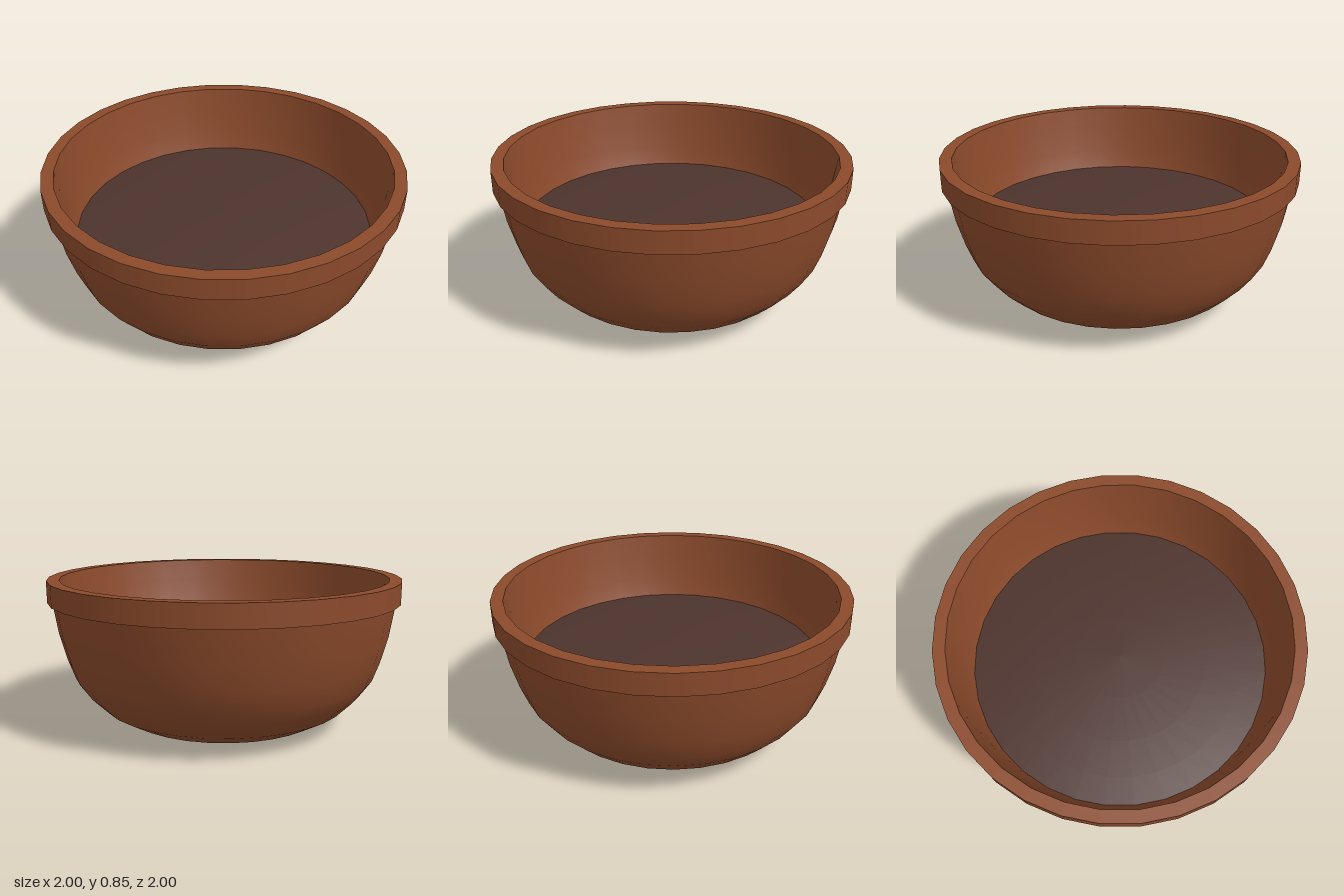
import * as THREE from 'three';

const SIDES = 32;

export function createModel() {
  const group = new THREE.Group();
  group.name = 'plantPot';

  const terracotta = new THREE.MeshStandardMaterial({ color: 0x8b4a2b });
  terracotta.name = 'terracotta';
  const earth = new THREE.MeshStandardMaterial({ color: 0x4e342e });
  earth.name = 'darkSoil';

  // Each run of [radius, height] points is smooth; separate runs meet at sharp edges
  const turn = (name, points, material = terracotta) => {
    const profile = points.map(([r, y]) => new THREE.Vector2(r, y));
    const mesh = new THREE.Mesh(new THREE.LatheGeometry(profile, SIDES), material);
    mesh.name = name;
    group.add(mesh);
  };

  // Rounded bowl and its flat foot
  turn('foot', [[0, 0], [0.44, 0]]);
  turn('bowl', [
    [0.44, 0], [0.585, 0.04], [0.71, 0.11], [0.80, 0.20],
    [0.865, 0.29], [0.905, 0.40], [0.945, 0.55], [0.973, 0.725],
  ]);

  // Thick collar: underside, outer band and top face
  turn('rimUnderside', [[0.973, 0.725], [1, 0.725]]);
  turn('rimBand', [[1, 0.725], [1, 0.845]]);
  turn('rimTop', [[1, 0.845], [0.932, 0.845]]);

  // Inside wall, carried on below the soil to the inner floor
  turn('innerWall', [
    [0.932, 0.845], [0.915, 0.73], [0.885, 0.57], [0.852, 0.445], [0.81, 0.33],
    [0.75, 0.24], [0.67, 0.16], [0.56, 0.10], [0.42, 0.065],
  ]);
  turn('innerFloor', [[0.42, 0.065], [0, 0.065]]);

  // Gently domed soil
  turn('soil', [
    [0.852, 0.445], [0.70, 0.463], [0.50, 0.481], [0.25, 0.495], [0, 0.5],
  ], earth);

  return group;
}
